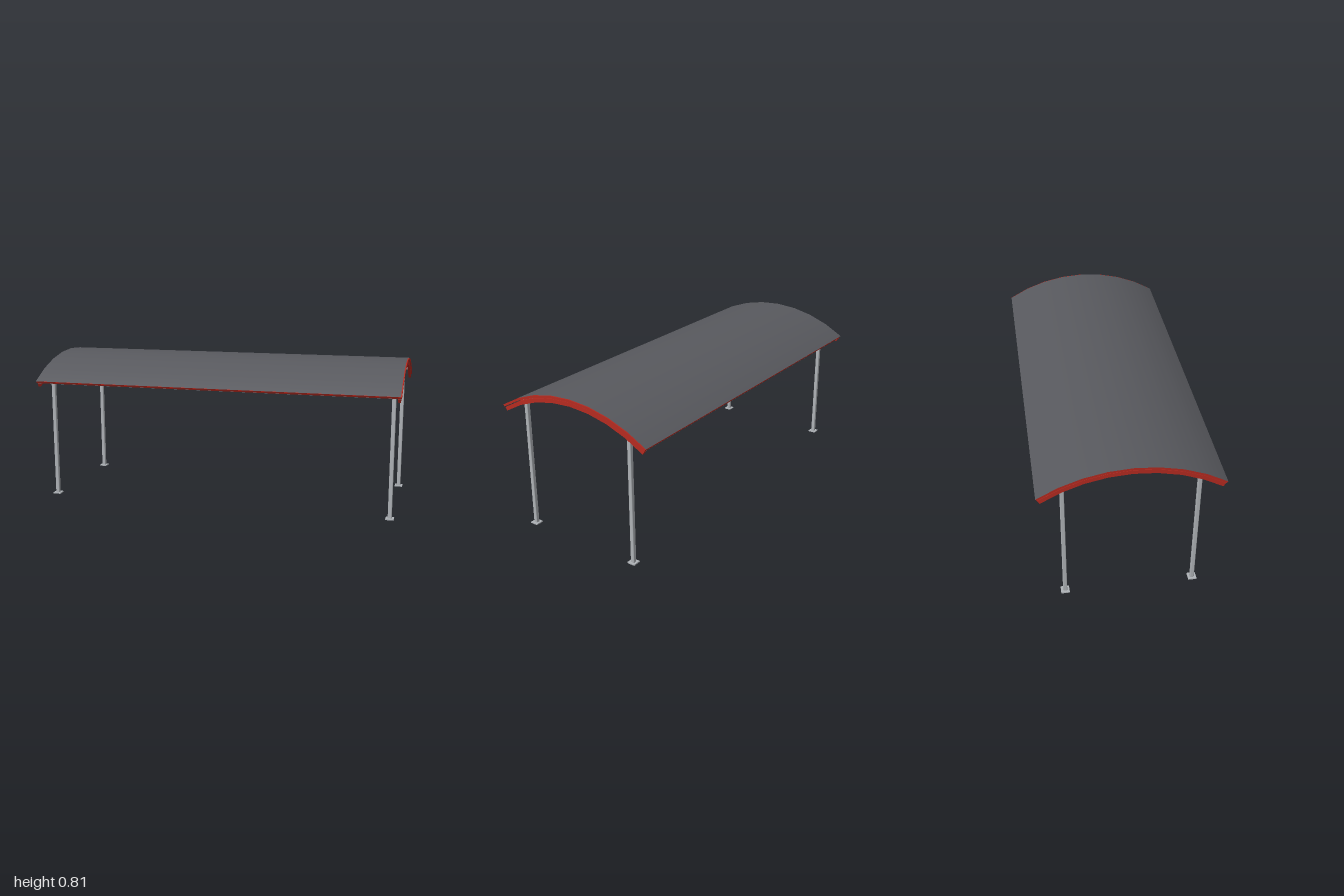
import * as THREE from 'three';
import { RoundedBoxGeometry } from 'three/addons/geometries/RoundedBoxGeometry.js';

const R = 0.851;            // roof radius
const CY = 0.81 - R;        // height of the arc centre
const HALF = 0.571;         // half angle of the arc
const SEG = 8;

export function createModel() {
  const group = new THREE.Group();
  const charcoal = new THREE.MeshStandardMaterial({ color: 0x58595e, side: THREE.DoubleSide });
  charcoal.name = 'charcoalRoofing';
  const red = new THREE.MeshStandardMaterial({ color: 0xb52a20 });
  red.name = 'redTrim';
  const steel = new THREE.MeshStandardMaterial({ color: 0xaeb2b6 });
  steel.name = 'greySteel';

  const add = (name, geometry, material, x = 0, y = 0, z = 0) => {
    const mesh = new THREE.Mesh(geometry, material);
    mesh.name = name;
    mesh.position.set(x, y, z);
    group.add(mesh);
    return mesh;
  };

  // Faceted curved bar between two radii, running from x0 to x1
  const arcBar = (inner, outer, x0, x1) => {
    const pts = [];
    for (const [r, dir] of [[outer, 1], [inner, -1]]) {
      for (let i = 0; i <= SEG; i++) {
        const a = dir * HALF * (2 * i / SEG - 1);
        pts.push(new THREE.Vector2(r * Math.sin(a), CY + r * Math.cos(a)));
      }
    }
    const geo = new THREE.ExtrudeGeometry(new THREE.Shape(pts), { depth: x1 - x0, bevelEnabled: false });
    return geo.rotateY(Math.PI / 2).translate(x0, 0, 0);
  };

  // Smooth open sheet following the arc
  const arcSheet = (r, length) =>
    new THREE.CylinderGeometry(r, r, length, SEG, 1, true, Math.PI / 2 - HALF, 2 * HALF).rotateZ(Math.PI / 2);

  // Roof: red edged slab with dark sheets above and below
  add('roofEdgeTrim', arcBar(R - 0.013, R - 0.001, -0.998, 1), red);
  add('roofTop', arcSheet(R, 1.995), charcoal, -0.0025, CY, 0);
  add('roofCeiling', arcSheet(R - 0.014, 1.99), charcoal, 0, CY, 0);

  // Curved end ribs
  add('rightRib', arcBar(0.813, 0.834, -0.995, -0.981), red);
  add('leftRib', arcBar(0.813, 0.834, 0.981, 0.995), red);

  // Posts, base plates and the long rails they carry
  for (const z of [-0.333, 0.333]) {
    for (const x of [-0.955, 0.955]) {
      add('post', new RoundedBoxGeometry(0.021, 0.715, 0.021, 2, 0.004), steel, x, 0.3605, z);
      add('basePlate', new THREE.BoxGeometry(0.044, 0.006, 0.044), steel, x, 0.003, z);
    }
    add('rail', new THREE.BoxGeometry(1.962, 0.02, 0.02), steel, 0, 0.716, z);
  }

  // Hanging rods with a small disc at each end
  for (const x of [-0.4, 0.4]) {
    add('hangerRod', new THREE.CylinderGeometry(0.0025, 0.0025, 0.156, 10), steel, x, 0.712, 0.104);
    add('hangerFoot', new THREE.CylinderGeometry(0.008, 0.008, 0.004, 16), steel, x, 0.634, 0.104);
    add('hangerMount', new THREE.CylinderGeometry(0.008, 0.008, 0.004, 16), steel, x, 0.787, 0.104);
  }
  return group;
}
